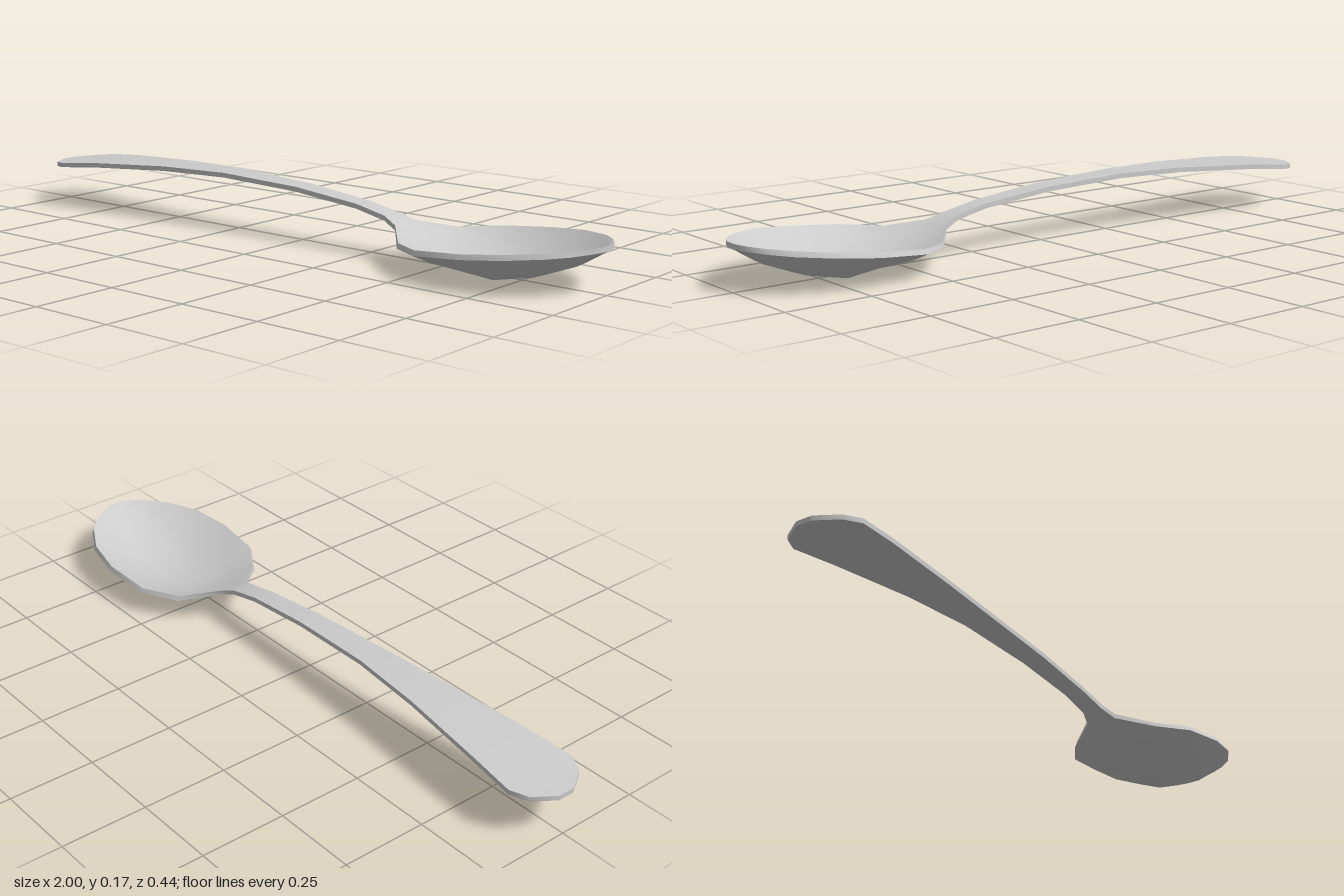
import * as THREE from 'three';
import { toCreasedNormals } from 'three/addons/utils/BufferGeometryUtils.js';

// Stations along the spoon: [x, half width, top edge height, bowl depth]
const STATIONS = [
  [-1, 0.025, 0.13, 0], [-0.96, 0.088, 0.132, 0], [-0.91, 0.113, 0.137, 0],
  [-0.77, 0.098, 0.15, 0], [-0.5, 0.066, 0.166, 0], [-0.27, 0.045, 0.17, 0],
  [0, 0.035, 0.16, 0], [0.22, 0.03, 0.138, 0], [0.32, 0.032, 0.118, 0],
  [0.37, 0.048, 0.1, 0.002], [0.45, 0.145, 0.078, 0.021], [0.55, 0.21, 0.085, 0.053],
  [0.7, 0.222, 0.099, 0.085], [0.82, 0.2, 0.111, 0.072], [0.91, 0.15, 0.119, 0.045],
  [0.955, 0.105, 0.123, 0.022], [0.985, 0.055, 0.126, 0.005], [1, 0.02, 0.128, 0],
];
// Cross-section of the dish: [fraction of half width, fraction of depth]
const DISH = [[-1, 0], [-0.67, 0.55], [-0.28, 0.96], [0, 1], [0.28, 0.96], [0.67, 0.55], [1, 0]];
const THICKNESS = 0.014;

// Closed ring: upper surface towards +z, then lower surface back again
function ring([x, w, top, depth]) {
  const bevel = depth > 0.01 ? 0.006 : 0;
  const upper = DISH.map(([t, f]) => [x, top - depth * f, t * (w - bevel)]);
  const lower = DISH.map(([t, f]) => [x, top - THICKNESS - depth * f, t * w]);
  return [...upper, ...lower.reverse()];
}

export function createModel() {
  const rings = STATIONS.map(ring);
  const n = rings[0].length;
  const positions = [];
  const quad = (a, b, c, d) => positions.push(...a, ...b, ...c, ...a, ...c, ...d);

  // Skin from ring to ring
  for (let i = 0; i < rings.length - 1; i++) {
    for (let j = 0; j < n; j++) {
      const k = (j + 1) % n;
      quad(rings[i][j], rings[i][k], rings[i + 1][k], rings[i + 1][j]);
    }
  }
  // Blunt ends of handle and bowl
  const first = rings[0], last = rings[rings.length - 1];
  for (let j = 0; j < DISH.length - 1; j++) {
    const p = n - 1 - j;
    quad(first[p], first[p - 1], first[j + 1], first[j]);
    quad(last[j], last[j + 1], last[p - 1], last[p]);
  }

  const geometry = new THREE.BufferGeometry();
  geometry.setAttribute('position', new THREE.Float32BufferAttribute(positions, 3));
  const spoon = new THREE.Mesh(
    toCreasedNormals(geometry, 0.7),
    new THREE.MeshStandardMaterial({ color: 0xcccccc }),
  );
  spoon.name = 'spoonHandleAndBowl';

  const group = new THREE.Group();
  group.name = 'spoon';
  group.add(spoon);
  return group;
}
